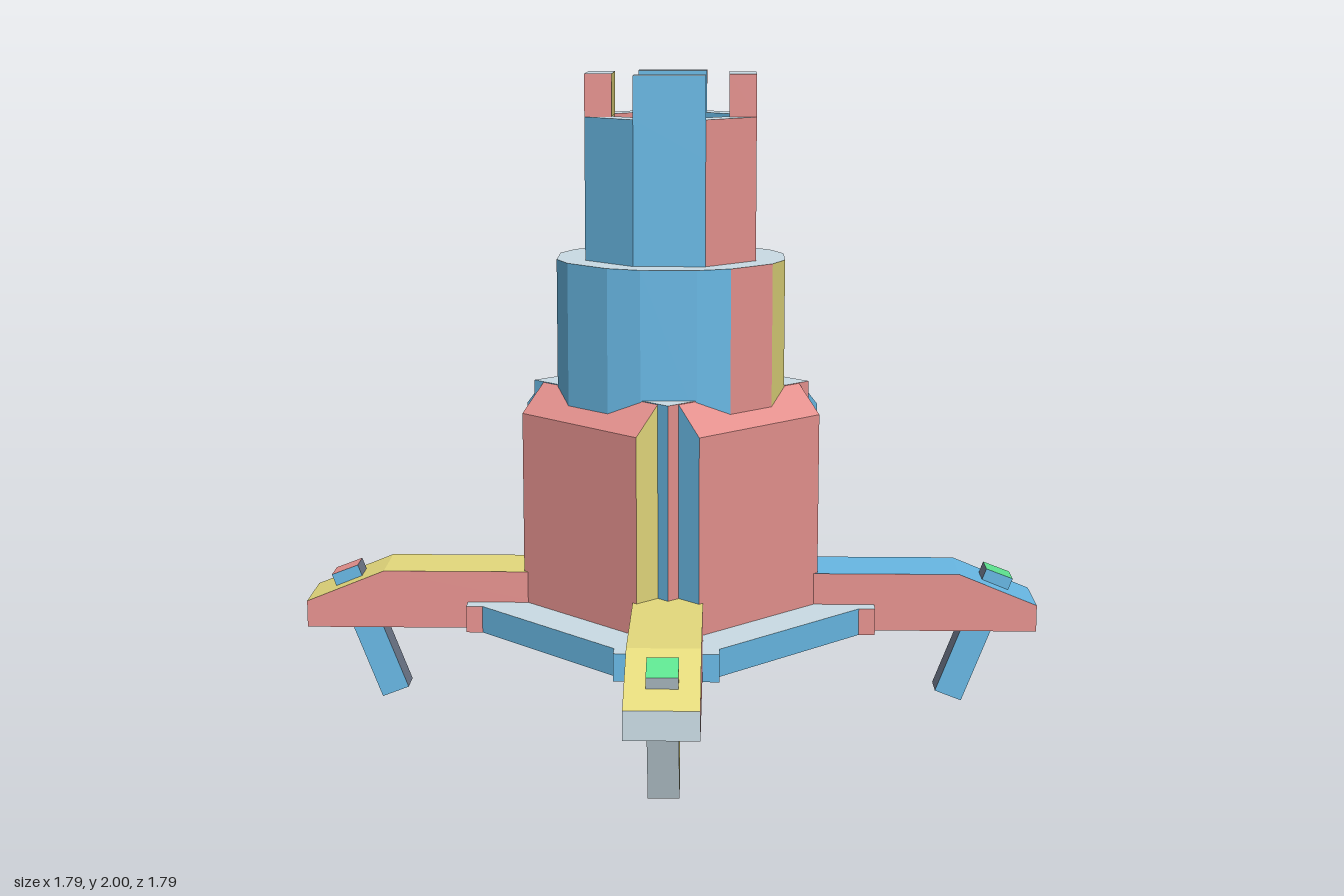
import * as THREE from 'three';

const mat = (name, color) => {
  const m = new THREE.MeshStandardMaterial({ color });
  m.name = name;
  return m;
};
const materials = [
  mat('grey', 0xcadce5), mat('blue', 0x68b8e4), mat('red', 0xe6928f),
  mat('green', 0x5de28f), mat('yellow', 0xe4d97c), mat('slate', 0x737e91),
];
const GREY = 0, BLUE = 1, RED = 2, GREEN = 3, YELLOW = 4, SLATE = 5;
const byX = (n) => (n.x > 0 ? RED : GREEN);
const byZ = (n) => (n.z > 0 ? BLUE : YELLOW);
// Grey on top, slate underneath
const capOf = (n) => (n.y > 0 ? GREY : SLATE);
const isCap = (n) => Math.abs(n.y) > 0.9;
// Tower walls: red/green faces square to x, blue/yellow for the rest
const wallRule = (n) => (isCap(n) ? capOf(n) : Math.abs(n.z) < 0.1 ? byX(n) : byZ(n));
// Platform edge: blue to the front and +x, yellow to the back and -x
const platformRule = (n) => (isCap(n) ? capOf(n) : n.x + n.z > 0 ? BLUE : YELLOW);

// Gives each flat face a colour chosen by a rule on its normal
function painted(name, source, rule) {
  const geo = source.index ? source.toNonIndexed() : source;
  geo.computeVertexNormals();
  geo.clearGroups();
  const normals = geo.attributes.normal;
  const n = new THREE.Vector3();
  let start = 0, last = -1;
  for (let i = 0; i < normals.count; i += 3) {
    const c = rule(n.fromBufferAttribute(normals, i));
    if (c !== last) {
      if (i > 0) geo.addGroup(start, i - start, last);
      start = i;
      last = c;
    }
  }
  geo.addGroup(start, normals.count - start, last);
  const mesh = new THREE.Mesh(geo, materials);
  mesh.name = name;
  return mesh;
}

const shapeOf = (pts) => new THREE.Shape(pts.map(([x, y]) => new THREE.Vector2(x, y)));

// Upright prism with an outline in plan
function prism(pts, y0, y1, hole) {
  const shape = shapeOf(pts);
  if (hole) shape.holes.push(shapeOf(hole));
  return new THREE.ExtrudeGeometry(shape, { depth: y1 - y0, bevelEnabled: false })
    .rotateX(-Math.PI / 2).translate(0, y0, 0);
}

// Side profile (outward distance, height) given a width across z
function slab(profile, width) {
  return new THREE.ExtrudeGeometry(shapeOf(profile), { depth: width, bevelEnabled: false })
    .translate(0, 0, -width / 2);
}

// Repeats the corners of one quadrant by quarter turns
function fourfold(pts) {
  const out = [];
  for (let q = 0; q < 4; q++) {
    for (const [x, y] of pts) {
      out.push([[x, y], [-y, x], [-x, -y], [y, -x]][q]);
    }
  }
  return out;
}

export function createModel() {
  const model = new THREE.Group();
  model.name = 'tower';

  // Platform and square core
  model.add(painted('platform', prism(fourfold([[0.53, 0.31], [0.31, 0.53]]), 0.25, 0.335), platformRule));
  model.add(painted('core', prism(fourfold([[0.307, 0.307]]), 0.335, 1.035), wallRule));

  // Four armour blocks with a sloped top edge: +x, back, -x, front
  const blockProfile = [[0.3, 0.335], [0.395, 0.335], [0.395, 0.945], [0.305, 1.035], [0.3, 1.035]];
  for (let q = 0; q < 4; q++) {
    const outer = q === 2 ? GREEN : RED;
    const [plusEnd, minusEnd] = q === 2 ? [YELLOW, BLUE] : [BLUE, YELLOW];
    const block = painted('armourBlock', slab(blockProfile, 0.525), (n) => {
      if (Math.abs(n.z) > 0.9) return n.z > 0 ? plusEnd : minusEnd;
      return isCap(n) ? capOf(n) : outer;
    });
    block.rotation.y = q * Math.PI / 2;
    model.add(block);
  }

  // Wide drum, then the octagonal turret with a sunken top
  const drum = fourfold([[0.353, 0.09], [0.31, 0.19], [0.19, 0.31], [0.09, 0.353]]);
  model.add(painted('drum', prism(drum, 0.97, 1.43), wallRule));
  const octagon = fourfold([[0.263, 0.109], [0.109, 0.263]]);
  const pit = fourfold([[0.18, 0.0746], [0.0746, 0.18]]);
  model.add(painted('turret', prism(octagon, 1.43, 1.75), wallRule));
  model.add(painted('turretRim', prism(octagon, 1.75, 1.87, pit), wallRule));

  for (const sx of [1, -1]) {
    for (const sz of [1, -1]) {
      const angle = Math.atan2(-sz, sx);
      const isSide = (n) => Math.abs(n.x * sz - n.z * sx) > 1.2;
      const diagonalRule = (n) => (isCap(n) ? capOf(n) : isSide(n) ? byX(n) : byZ(n));

      // Battlement on each diagonal face
      const merlon = [[0.263, 0.109], [0.109, 0.263], [0.05, 0.204], [0.204, 0.05]]
        .map(([x, z]) => [x * sx, -z * sz]);
      model.add(painted('battlement', prism(merlon, 1.87, 2), diagonalRule));

      // Bracket that grips the arm
      const bracket = new THREE.BoxGeometry(0.2, 0.085, 0.312)
        .translate(0.545, 0.2925, 0).rotateY(angle);
      model.add(painted('bracket', bracket, diagonalRule));

      // Arm with a sloped tip
      const arm = slab([[0.4, 0.335], [0.645, 0.335], [0.645, 0.25], [1.159, 0.25],
        [1.159, 0.335], [0.912, 0.435], [0.4, 0.435]], 0.212).rotateY(angle);
      model.add(painted('arm', arm, (n) => {
        if (isSide(n)) return byX(n);
        if (Math.abs(n.y) < 0.1) return GREY;
        return (n.y > 0) === (sz > 0) ? YELLOW : BLUE;
      }));

      // Slanted leg passing through the arm, slate on its inner face
      const leg = new THREE.BoxGeometry(0.09, 0.434, 0.09)
        .rotateZ(-0.366).translate(0.969, 0.219, 0).rotateY(angle);
      model.add(painted('leg', leg, (n) => {
        if (isSide(n)) return byZ(n);
        if (Math.abs(n.y) < 0.7) return n.x * sx > 0 ? GREY : SLATE;
        return (n.y > 0) === (sx > 0) ? GREEN : RED;
      }));
    }
  }
  return model;
}
